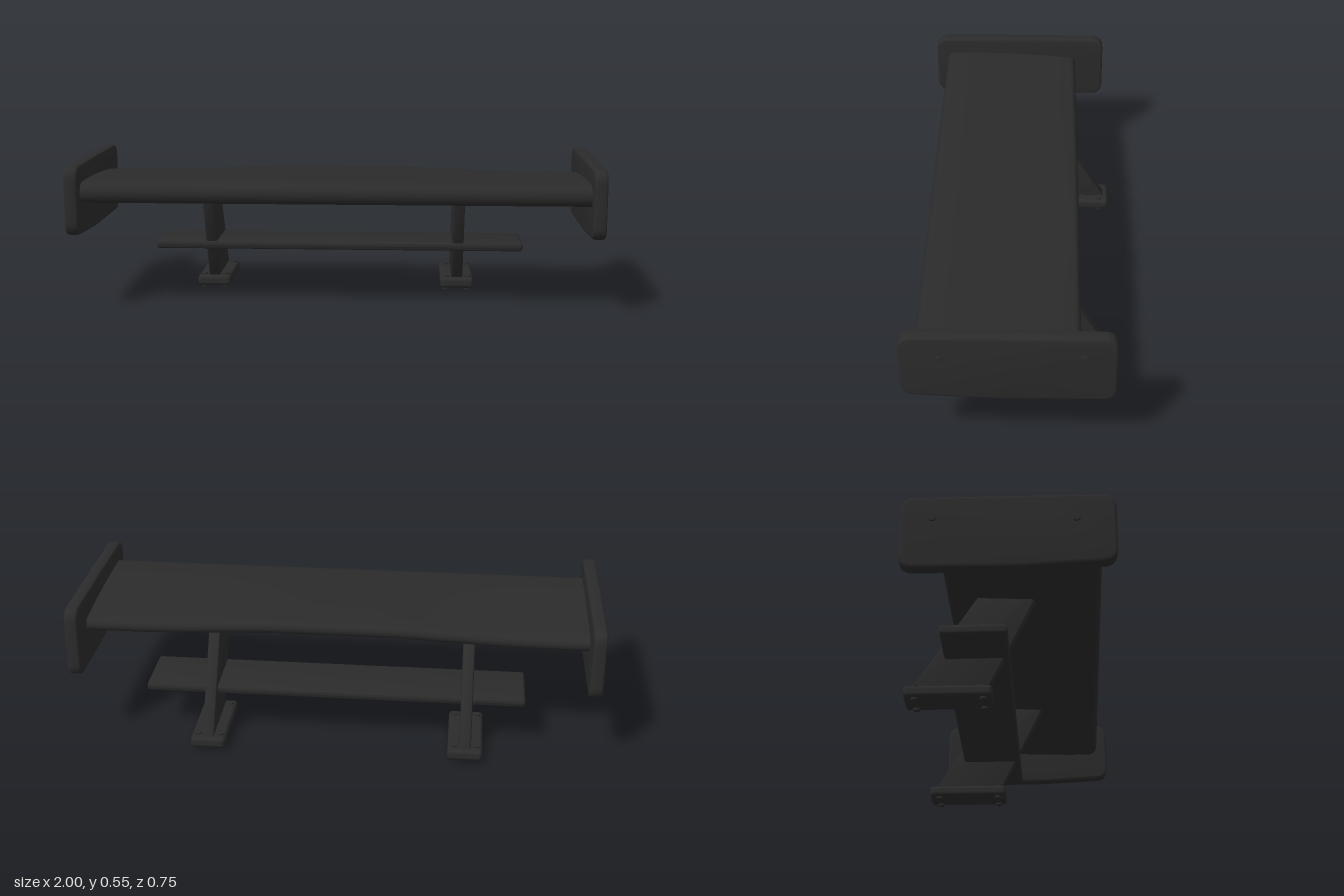
import * as THREE from 'three';
import { toCreasedNormals } from 'three/addons/utils/BufferGeometryUtils.js';
import { RoundedBoxGeometry } from 'three/addons/geometries/RoundedBoxGeometry.js';

const black = new THREE.MeshStandardMaterial({ color: 0x2b2b2b });
black.name = 'satin black';

function add(group, name, geometry, x = 0, y = 0, z = 0) {
  const mesh = new THREE.Mesh(geometry, black);
  mesh.name = name;
  mesh.position.set(x, y, z);
  group.add(mesh);
  return mesh;
}

// Extrudes a (z, y) side profile across x, centred on x = 0, with softened rims
function sideExtrude(shape, width, bevel, steps = 1) {
  const g = new THREE.ExtrudeGeometry(shape, {
    depth: width - 2 * bevel, steps, curveSegments: 8,
    bevelEnabled: bevel > 0, bevelThickness: bevel, bevelSize: bevel,
    bevelOffset: -bevel, bevelSegments: 3,
  });
  g.translate(0, 0, bevel - width / 2);
  g.rotateY(-Math.PI / 2);
  return g;
}

// Closed outline whose corners are rounded with radius r
function roundedOutline(points, r) {
  const v = points.map(([z, y]) => new THREE.Vector2(z, y));
  const s = new THREE.Shape();
  v.forEach((p, i) => {
    const prev = v[(i + v.length - 1) % v.length], next = v[(i + 1) % v.length];
    const a = p.clone().add(prev.clone().sub(p).setLength(r));
    const b = p.clone().add(next.clone().sub(p).setLength(r));
    if (i === 0) s.moveTo(a.x, a.y); else s.lineTo(a.x, a.y);
    s.quadraticCurveTo(p.x, p.y, b.x, b.y);
  });
  s.closePath();
  return s;
}

// Main wing: aerofoil whose trailing edge dips slightly toward the ends
function wingGeometry() {
  const s = new THREE.Shape();
  s.moveTo(-0.21, 0.435);
  s.bezierCurveTo(-0.05, 0.425, 0.1, 0.405, 0.29, 0.405);
  s.bezierCurveTo(0.345, 0.405, 0.345, 0.483, 0.29, 0.485);
  s.bezierCurveTo(0.12, 0.487, -0.05, 0.486, -0.21, 0.483);
  s.bezierCurveTo(-0.237, 0.48, -0.237, 0.437, -0.21, 0.435);
  const g = sideExtrude(s, 1.92, 0, 24);
  const p = g.attributes.position;
  for (let i = 0; i < p.count; i++) {
    const rear = THREE.MathUtils.clamp((0.3 - p.getZ(i)) / 0.53, 0, 1);
    const end = THREE.MathUtils.smoothstep(Math.abs(p.getX(i)), 0.15, 0.75);
    p.setY(i, p.getY(i) - 0.02 * rear * rear * end);
  }
  return toCreasedNormals(g, 0.7);
}

export function createModel() {
  const model = new THREE.Group();
  model.name = 'rearWing';
  add(model, 'mainWing', wingGeometry());

  // Lower blade
  const blade = roundedOutline([[0, 0.174], [0, 0.208], [-0.238, 0.208], [-0.238, 0.174]].reverse(), 0.016);
  add(model, 'lowerBlade', toCreasedNormals(sideExtrude(blade, 1.45, 0.008), 0.7));

  // End plates with two small screws each
  const plate = roundedOutline([
    [0.377, 0.292], [0.05, 0.277], [-0.352, 0.28], [-0.349, 0.552], [0.05, 0.552], [0.377, 0.548],
  ].reverse(), 0.05);
  const plateGeometry = toCreasedNormals(sideExtrude(plate, 0.05, 0.01), 0.7);
  const screw = new THREE.CylinderGeometry(0.012, 0.015, 0.008, 8).rotateZ(-Math.PI / 2);
  for (const side of [-1, 1]) {
    const end = new THREE.Group();
    end.name = side > 0 ? 'leftEndPlate' : 'rightEndPlate';
    add(end, 'plate', plateGeometry, side * 0.972);
    for (const [z, y] of [[0.243, 0.457], [-0.24, 0.468]]) {
      add(end, 'plateScrew', screw, side * 0.998, y, z).rotation.y = side > 0 ? 0 : Math.PI;
    }
    model.add(end);
  }

  // Raked struts on bolted feet
  const strut = roundedOutline([[-0.08, 0.05], [0.1, 0.43], [-0.115, 0.43], [-0.358, 0.05]], 0.008);
  const strutGeometry = toCreasedNormals(sideExtrude(strut, 0.045, 0.008), 0.7);
  const footGeometry = new RoundedBoxGeometry(0.132, 0.042, 0.315, 3, 0.014);
  const boltGeometry = new THREE.CylinderGeometry(0.013, 0.013, 0.056, 10);
  for (const x of [-0.505, 0.472]) {
    const mount = new THREE.Group();
    mount.name = x > 0 ? 'leftMount' : 'rightMount';
    mount.position.x = x;
    add(mount, 'strut', strutGeometry);
    add(mount, 'foot', footGeometry, 0, 0.032, -0.2175);
    for (const bx of [-0.043, 0.043]) {
      for (const z of [-0.092, -0.335]) add(mount, 'footBolt', boltGeometry, bx, 0.031, z);
    }
    model.add(mount);
  }
  return model;
}
